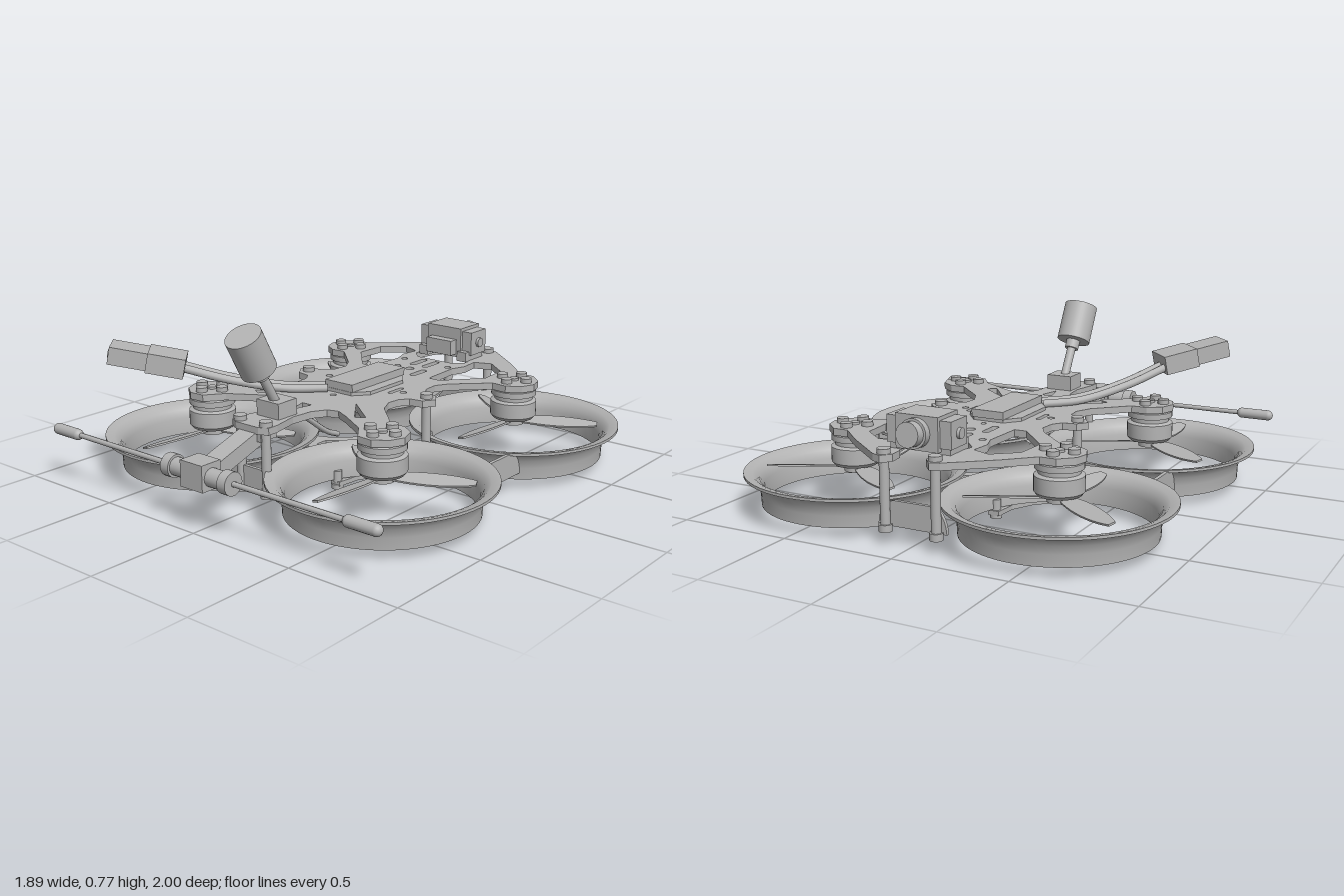
import * as THREE from 'three';
import { toCreasedNormals } from 'three/addons/utils/BufferGeometryUtils.js';

const grey = new THREE.MeshStandardMaterial({ color: 0xb4b4b4 });
grey.name = 'plain grey';
const V = (x, y, z) => new THREE.Vector3(x, y, z);

export function createModel() {
  const model = new THREE.Group();
  model.name = 'ductedQuadcopter';

  function add(name, geo, x = 0, y = 0, z = 0, parent = model) {
    const m = new THREE.Mesh(geo, grey);
    m.name = name;
    m.position.set(x, y, z);
    parent.add(m);
    return m;
  }
  const box = (name, w, h, d, x, y, z, parent) => add(name, new THREE.BoxGeometry(w, h, d), x, y, z, parent);
  const cyl = (name, r, y0, y1, x, z, parent, sides = 24) =>
    add(name, new THREE.CylinderGeometry(r, r, y1 - y0, sides), x, (y0 + y1) / 2, z, parent);
  // Cylinder between two points
  function rod(name, r, a, b, sides = 24) {
    const m = add(name, new THREE.CylinderGeometry(r, r, a.distanceTo(b), sides));
    m.position.copy(a).lerp(b, 0.5);
    m.quaternion.setFromUnitVectors(V(0, 1, 0), b.clone().sub(a).normalize());
    return m;
  }
  const poly = (pts) => new THREE.Shape(pts.map(([x, z]) => new THREE.Vector2(x, z)));
  const mirrored = (half) => half.concat(half.slice().reverse().map(([x, z]) => [-x, z]));
  const circle = (x, z, r) => new THREE.Path().absarc(x, z, r, 0, Math.PI * 2, true);
  function slot(x, z, w, l) {
    const p = new THREE.Path(), s = l / 2 - w / 2;
    p.absarc(x, z + s, w / 2, 0, Math.PI, false);
    p.absarc(x, z - s, w / 2, Math.PI, Math.PI * 2, false);
    return p;
  }
  // Flat plate drawn in x,z; its upper face lies at the given height
  function plate(name, shape, top, thick) {
    const g = new THREE.ExtrudeGeometry(shape, { depth: thick, bevelEnabled: false, curveSegments: 10 });
    g.rotateX(Math.PI / 2);
    return add(name, g, 0, top, 0);
  }

  // Top frame plate with arms, lugs and cutouts
  const topShape = poly(mirrored([
    [0.1, -0.58], [0.145, -0.63], [0.12, -0.74], [0.08, -0.8], [0.075, -0.86], [0.11, -0.9], [0.15, -0.885],
    [0.33, -0.74], [0.44, -0.635], [0.51, -0.635], [0.57, -0.58], [0.585, -0.52], [0.56, -0.46], [0.5, -0.42],
    [0.43, -0.425], [0.29, -0.29], [0.255, -0.23], [0.26, -0.16], [0.29, -0.115], [0.35, -0.105], [0.385, -0.06],
    [0.35, -0.01], [0.29, 0], [0.26, 0.04], [0.255, 0.1], [0.29, 0.175], [0.43, 0.31], [0.5, 0.31],
    [0.56, 0.35], [0.585, 0.42], [0.56, 0.48], [0.5, 0.525], [0.43, 0.52], [0.37, 0.44], [0.24, 0.36],
    [0.17, 0.325], [0.12, 0.34], [0.085, 0.4], [0.075, 0.5], [0.1, 0.62], [0.1, 0.67], [0.06, 0.69],
  ]));
  for (const s of [-1, 1]) {
    topShape.holes.push(
      new THREE.Path([[0.17, -0.66], [0.25, -0.69], [0.35, -0.61], [0.36, -0.47], [0.22, -0.31], [0.165, -0.31],
        [0.155, -0.5], [0.18, -0.57]].map(([x, z]) => new THREE.Vector2(s * x, z))),
      new THREE.Path([[0.16, 0.2], [0.31, 0.32], [0.27, 0.345]].map(([x, z]) => new THREE.Vector2(s * x, z))),
      slot(s * 0.035, -0.5, 0.03, 0.115), slot(s * 0.075, -0.35, 0.03, 0.11), slot(s * 0.17, -0.06, 0.02, 0.1),
      circle(s * 0.125, -0.51, 0.015), circle(s * 0.21, -0.06, 0.015));
  }
  topShape.holes.push(circle(0, -0.385, 0.02), circle(0, -0.275, 0.012), circle(0, 0.16, 0.014),
    new THREE.Path([[-0.025, 0.33], [0.025, 0.33], [0, 0.43]].map((p) => new THREE.Vector2(...p))));
  plate('topPlate', topShape, 0.365, 0.03);

  // Bottom plate: concave diamond with an X of struts
  const quarter = [[0.04, 0.235], [0.075, 0.25], [0.09, 0.345], [0.14, 0.345], [0.15, 0.24], [0.2, 0.14],
    [0.27, 0.08], [0.35, 0.05], [0.375, 0]];
  const bottomShape = poly(mirrored(quarter.slice().reverse().map(([x, z]) => [x, -z - 0.06]).reverse()
    .concat(quarter.slice(0, -1).reverse().map(([x, z]) => [x, z - 0.06]))));
  for (const s of [-1, 1]) {
    bottomShape.holes.push(
      new THREE.Path([[0.05, 0], [0.16, 0.1], [0.26, 0.03], [0.26, -0.03], [0.16, -0.1]]
        .map(([x, z]) => new THREE.Vector2(s * x, z - 0.06))),
      new THREE.Path([[0, 0.05], [0.1, 0.14], [0.06, 0.2], [-0.06, 0.2], [-0.1, 0.14]]
        .map(([x, z]) => new THREE.Vector2(x, s * z - 0.06))));
  }
  plate('bottomPlate', bottomShape, 0.035, 0.02);

  // Standoffs with screw heads: [x, z, lower end]
  const posts = [[0.335, -0.06, 0.01], [0.115, -0.86, 0.05], [0.07, 0.655, 0.06]];
  for (const s of [-1, 1]) {
    for (const [x, z, y0] of posts) {
      cyl('standoff', 0.02, y0, 0.345, s * x, z);
      cyl('standoffScrew', 0.027, 0.36, 0.385, s * x, z);
      cyl('standoffFoot', 0.027, y0, y0 + 0.03, s * x, z);
    }
    cyl('bottomScrew', 0.025, 0, 0.02, s * 0.335, -0.06);
    for (const z of [0.27, -0.38]) {
      cyl('bottomScrew', 0.025, 0, 0.02, s * 0.115, z);
      cyl('bottomSpacer', 0.02, 0.03, 0.08, s * 0.115, z);
    }
  }

  // Duct, motor and propeller at each corner
  const ductProfile = [[0.398, 0.04], [0.4, 0.09], [0.408, 0.125], [0.428, 0.155], [0.468, 0.168], [0.468, 0.18],
    [0.43, 0.173], [0.402, 0.152], [0.388, 0.115], [0.385, 0.04], [0.398, 0.04]];
  const ductGeo = toCreasedNormals(
    new THREE.LatheGeometry(ductProfile.map(([r, y]) => new THREE.Vector2(r, y)), 72), 0.7);
  const motorProfile = [[0, 0.195], [0.09, 0.195], [0.102, 0.21], [0.102, 0.275], [0.085, 0.283], [0.085, 0.3],
    [0.1, 0.303], [0.1, 0.328], [0.09, 0.336], [0, 0.336]];
  const motorGeo = toCreasedNormals(
    new THREE.LatheGeometry(motorProfile.map(([r, y]) => new THREE.Vector2(r, y)), 32), 0.6);
  const bladeShape = new THREE.Shape();
  bladeShape.moveTo(0.03, -0.02);
  bladeShape.bezierCurveTo(0.12, -0.055, 0.28, -0.05, 0.375, -0.02);
  bladeShape.lineTo(0.375, 0.01);
  bladeShape.bezierCurveTo(0.28, 0.045, 0.15, 0.045, 0.03, 0.02);
  const bladeGeo = new THREE.ExtrudeGeometry(bladeShape, { depth: 0.008, bevelEnabled: false });
  bladeGeo.rotateX(Math.PI / 2 + 0.25);

  for (const sx of [-1, 1]) for (const z of [-0.53, 0.42]) {
    const corner = new THREE.Group();
    corner.name = 'rotorUnit';
    corner.position.set(sx * 0.475, 0, z);
    model.add(corner);
    add('duct', ductGeo, 0, 0, 0, corner);
    add('motor', motorGeo, 0, 0, 0, corner);
    cyl('propellerHub', 0.05, 0.165, 0.2, 0, 0, corner);
    for (let i = 0; i < 3; i++) {
      const blade = add('propellerBlade', bladeGeo, 0, 0.185, 0, corner);
      blade.rotation.y = 0.44 + i * Math.PI * 2 / 3;
    }
    for (let i = 0; i < 4; i++) {
      const a = i * Math.PI / 2;
      cyl('motorScrew', 0.025, 0.36, 0.385, 0.062 * Math.cos(a), 0.062 * Math.sin(a), corner, 16);
    }
    cyl('motorShaft', 0.02, 0.36, 0.375, 0, 0, corner);
  }

  // Domed bridges joining neighbouring ducts
  const dome = new THREE.Shape();
  dome.moveTo(-0.155, 0.07);
  dome.lineTo(0.155, 0.07);
  dome.bezierCurveTo(0.15, 0.14, 0.12, 0.17, 0.08, 0.175);
  dome.lineTo(-0.08, 0.175);
  dome.bezierCurveTo(-0.12, 0.17, -0.15, 0.14, -0.155, 0.07);
  const domeGeo = new THREE.ExtrudeGeometry(dome, { depth: 0.016, bevelEnabled: false });
  domeGeo.translate(0, 0, -0.008);
  for (const s of [-1, 1]) add('sideBridge', domeGeo, s * 0.71, 0, -0.055).rotation.y = Math.PI / 2;
  for (const z of [-0.84, 0.655]) add('endBridge', domeGeo, 0, 0, z);

  // Electronics stack under the top plate
  box('controlBoard', 0.32, 0.012, 0.3, 0, 0.312, -0.055);
  box('powerBoard', 0.24, 0.015, 0.22, 0, 0.295, -0.055);
  for (const x of [-0.13, 0.13]) for (const z of [-0.18, 0.07]) cyl('stackPost', 0.016, 0.295, 0.34, x, z);

  // Battery pad on top
  plate('padBase', poly(mirrored([[0.07, -0.235], [0.125, -0.17], [0.125, 0.06], [0.07, 0.125]])), 0.38, 0.016);
  box('padBlock', 0.15, 0.022, 0.365, 0, 0.39, -0.06);
  box('padCover', 0.15, 0.015, 0.37, 0, 0.406, -0.06);

  // Camera with brackets
  const camera = new THREE.Group();
  camera.name = 'camera';
  camera.position.set(0, 0.445, -0.73);
  model.add(camera);
  box('cameraBody', 0.19, 0.14, 0.15, 0, 0, 0, camera);
  box('cameraBack', 0.14, 0.07, 0.1, 0, -0.02, 0.07, camera);
  for (const s of [-1, 1]) {
    box('cameraBracket', 0.05, 0.11, 0.12, s * 0.12, 0, 0, camera);
    box('cameraFoot', 0.05, 0.045, 0.14, s * 0.11, -0.06, 0.02, camera);
    const bolt = cyl('cameraBolt', 0.022, -0.008, 0.008, s * 0.15, 0, camera);
    bolt.rotation.z = Math.PI / 2;
  }
  rod('lensBarrel', 0.06, V(0, 0.445, -0.79), V(0, 0.448, -0.835));
  rod('lensRim', 0.05, V(0, 0.447, -0.83), V(0, 0.452, -0.875));

  // Upright antenna on its mount
  box('antennaMount', 0.12, 0.075, 0.11, 0, 0.395, 0.515);
  rod('antennaMast', 0.02, V(0, 0.4, 0.51), V(0, 0.58, 0.617));
  rod('antennaCollar', 0.032, V(0, 0.54, 0.594), V(0, 0.58, 0.617));
  rod('antennaCap', 0.077, V(0, 0.575, 0.615), V(0, 0.73, 0.7), 40);

  // Receiver antenna bar at the front
  box('barArm', 0.09, 0.065, 0.32, 0, 0.28, 0.76).rotation.x = 0.32;
  box('barArmRoot', 0.13, 0.05, 0.09, 0, 0.325, 0.635);
  box('barBlock', 0.12, 0.11, 0.1, 0, 0.235, 0.95);
  rod('barRod', 0.011, V(-0.75, 0.232, 0.95), V(0.75, 0.232, 0.95), 12);
  for (const s of [-1, 1]) {
    rod('barSleeve', 0.038, V(s * 0.05, 0.232, 0.95), V(s * 0.17, 0.232, 0.95));
    rod('barSleeveRing', 0.048, V(s * 0.135, 0.232, 0.95), V(s * 0.178, 0.232, 0.95));
    const tip = add('barTip', new THREE.CapsuleGeometry(0.024, 0.125, 6, 16), s * 0.805, 0.232, 0.95);
    tip.rotation.z = Math.PI / 2;
  }

  // Power leads and plug
  for (const o of [-0.018, 0.018]) {
    const path = new THREE.CatmullRomCurve3([V(-0.07 + o, 0.38, 0.12 + o), V(-0.2 + o, 0.385, 0.25 + o),
      V(-0.35 + o, 0.435, 0.43 + o), V(-0.48 + o, 0.505, 0.6 + o)]);
    add('powerLead', new THREE.TubeGeometry(path, 24, 0.018, 10));
  }
  const plug = new THREE.Group();
  plug.name = 'powerPlug';
  plug.position.set(-0.5, 0.525, 0.64);
  plug.lookAt(-0.645, 0.565, 0.775);
  model.add(plug);
  box('plugBoot', 0.16, 0.085, 0.16, 0, 0, 0.01, plug);
  box('plugHead', 0.135, 0.075, 0.16, 0, 0, 0.17, plug);
  for (const s of [-1, 1]) cyl('plugPin', 0.016, -0.004, 0.004, s * 0.032, 0.251, plug).rotation.x = Math.PI / 2;

  // Loose signal lead beneath the plate
  const lead = new THREE.CatmullRomCurve3([V(0, 0.34, 0.38), V(0, 0.28, 0.3), V(0, 0.21, 0.2), V(0, 0.18, 0.13)]);
  add('signalLead', new THREE.TubeGeometry(lead, 16, 0.012, 8));
  return model;
}
